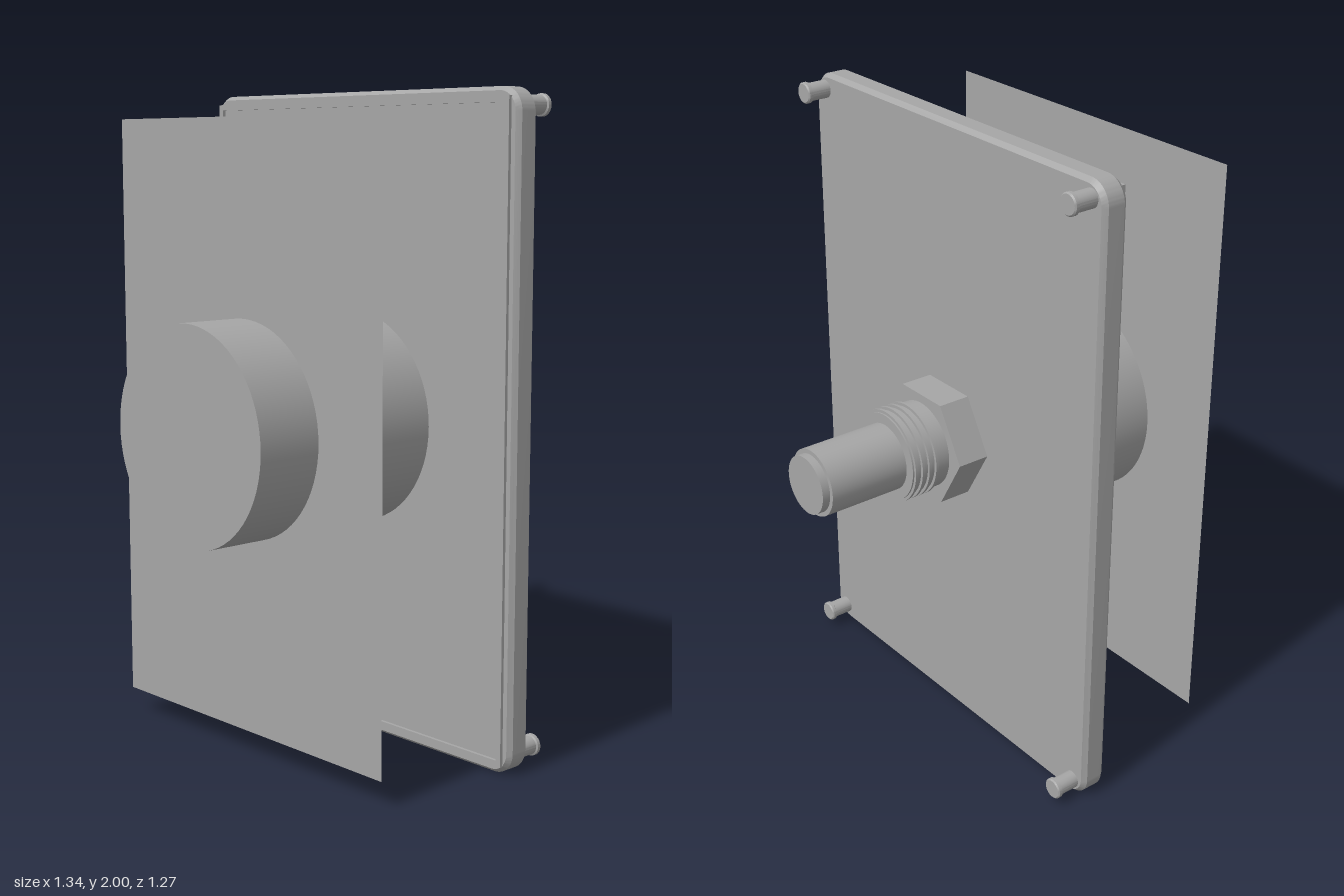
import * as THREE from 'three';
import { toCreasedNormals } from 'three/addons/utils/BufferGeometryUtils.js';

export function createModel() {
  const model = new THREE.Group();
  const gray = new THREE.MeshStandardMaterial({ color: 0xa6a6a6 });
  gray.name = 'plain gray';
  const sheetGray = new THREE.MeshStandardMaterial({ color: 0xa6a6a6, side: THREE.DoubleSide });
  sheetGray.name = 'sheet gray';
  const CY = 1.005;

  const add = (name, geometry, x = 0, y = 0, z = 0, material = gray) => {
    const mesh = new THREE.Mesh(geometry, material);
    mesh.name = name;
    mesh.position.set(x, y, z);
    model.add(mesh);
    return mesh;
  };

  // Cylinder along z between two depths
  const rod = (name, r, zBack, zFront, sides = 64, y = CY) => {
    const g = new THREE.CylinderGeometry(r, r, zFront - zBack, sides);
    g.rotateX(Math.PI / 2);
    return add(name, g, 0, y, (zBack + zFront) / 2);
  };

  const roundedRect = (w, h, r) => {
    const s = new THREE.Shape();
    s.absarc(w - r, h - r, r, 0, Math.PI / 2);
    s.absarc(-w + r, h - r, r, Math.PI / 2, Math.PI);
    s.absarc(-w + r, -h + r, r, Math.PI, Math.PI * 1.5);
    s.absarc(w - r, -h + r, r, Math.PI * 1.5, Math.PI * 2);
    s.closePath();
    return s;
  };
  const rect = (w, h, P = THREE.Shape) => new P([
    new THREE.Vector2(-w, -h), new THREE.Vector2(w, -h),
    new THREE.Vector2(w, h), new THREE.Vector2(-w, h),
  ]);

  // Back plate: rounded slab with slim bevels
  const bevel = 0.012;
  const plate = new THREE.ExtrudeGeometry(roundedRect(0.67 - bevel, 1 - bevel, 0.07 - bevel), {
    depth: 0.055, bevelEnabled: true, bevelSize: bevel, bevelThickness: 0.015,
    bevelSegments: 1, curveSegments: 10,
  });
  add('backPlate', toCreasedNormals(plate, 0.4), 0, 1, -0.092);

  // Raised lip around the front of the plate
  const lip = rect(0.643, 0.973);
  lip.holes.push(rect(0.625, 0.955, THREE.Path));
  add('frontLip', new THREE.ExtrudeGeometry(lip, { depth: 0.018, bevelEnabled: false }), 0, 1, -0.03);

  // Thin sheet crossed by the drum
  add('frontSheet', new THREE.PlaneGeometry(1.18, 1.84), 0, 1, 0.42, sheetGray);
  rod('drum', 0.33, -0.03, 0.632, 72);

  // Rear connector
  const nut = new THREE.CylinderGeometry(0.19, 0.19, 0.105, 6).toNonIndexed();
  nut.rotateY(Math.PI / 6);
  nut.rotateX(Math.PI / 2);
  nut.computeVertexNormals();
  // Turn the hexagon so that two corners point sideways
  nut.computeBoundingBox();
  if (nut.boundingBox.max.x < 0.18) nut.rotateZ(Math.PI / 6);
  add('hexNut', nut, 0, CY, -0.158);
  rod('collar', 0.137, -0.345, -0.2);
  for (let i = 0; i < 4; i++) rod('threadRing' + (i + 1), 0.146, -0.265 - i * 0.025, -0.256 - i * 0.025);
  rod('shaft', 0.105, -0.608, -0.34);
  rod('shaftTip', 0.091, -0.633, -0.6);

  // Corner screws
  const profile = [[0, 0], [0.028, 0], [0.028, 0.07], [0.033, 0.073], [0.033, 0.084], [0.029, 0.088], [0, 0.088]]
    .map(([r, y]) => new THREE.Vector2(r, y));
  const screw = toCreasedNormals(new THREE.LatheGeometry(profile, 24), 0.5);
  screw.rotateX(-Math.PI / 2);
  for (const x of [-0.617, 0.617])
    for (const y of [0.053, 1.95])
      add((y > 1 ? 'upper' : 'lower') + (x > 0 ? 'Left' : 'Right') + 'Screw', screw, x, y, -0.1);

  return model;
}
